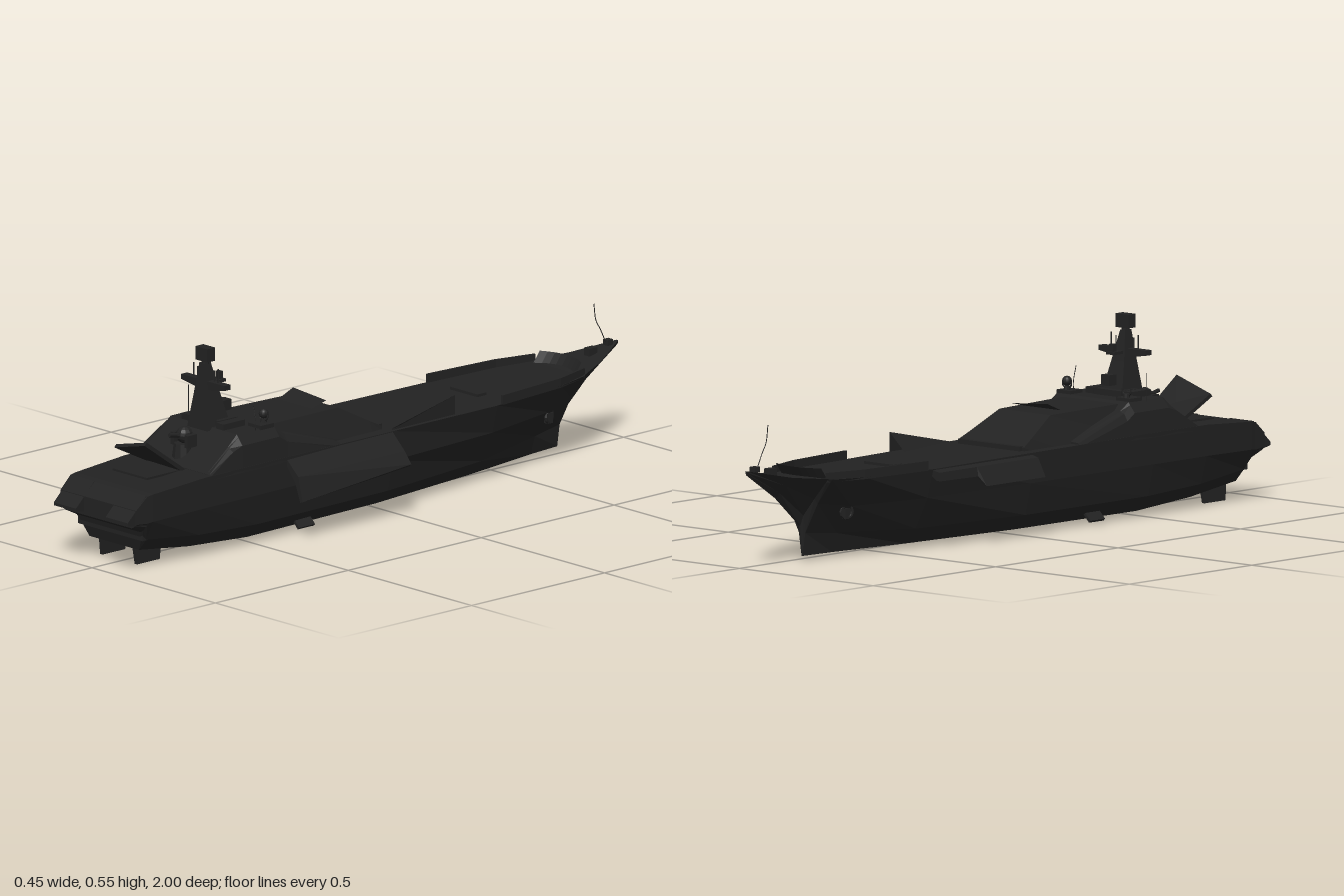
import * as THREE from 'three';

const paint = new THREE.MeshStandardMaterial({ color: 0x222222, flatShading: true });
const plate = new THREE.MeshStandardMaterial({ color: 0x222222, flatShading: true, side: THREE.DoubleSide });
paint.name = 'charcoal paint';
plate.name = 'charcoal plate';

const CX = -0.016; // centreline offset
const centre = z => CX + 0.01 * z;

export function createModel() {
  const ship = new THREE.Group();
  ship.name = 'ship';

  const add = (name, geo, x = 0, y = 0, z = 0, mat = paint) => {
    const m = new THREE.Mesh(geo, mat);
    m.name = name;
    m.position.set(x, y, z);
    ship.add(m);
    return m;
  };
  const box = (name, w, h, d, x, y, z) => add(name, new THREE.BoxGeometry(w, h, d), x, y, z);

  // Capped loft through rings of [x, y, z], counterclockwise seen from +z, z ascending
  const loft = rings => {
    const n = rings[0].length, pos = [], idx = [];
    rings.forEach(r => r.forEach(p => pos.push(...p)));
    for (let i = 0; i < rings.length - 1; i++)
      for (let j = 0; j < n; j++) {
        const a = i * n + j, b = i * n + (j + 1) % n;
        idx.push(a, b, b + n, a, b + n, a + n);
      }
    [0, rings.length - 1].forEach(i => {
      const c = pos.length / 3;
      pos.push(...[0, 1, 2].map(k => rings[i].reduce((s, p) => s + p[k], 0) / n));
      for (let j = 0; j < n; j++) {
        const a = i * n + j, b = i * n + (j + 1) % n;
        idx.push(...(i ? [c, a, b] : [c, b, a]));
      }
    });
    const g = new THREE.BufferGeometry();
    g.setAttribute('position', new THREE.Float32BufferAttribute(pos, 3));
    g.setIndex(idx);
    g.computeVertexNormals();
    return g;
  };
  // Symmetric station: half-section of [halfWidth, y] from bottom to top
  const station = (z, half) => [
    ...half.map(([w, y]) => [centre(z) + w, y, z]),
    ...half.slice().reverse().map(([w, y]) => [centre(z) - w, y, z])];
  const quad = (name, pts) => {
    const g = new THREE.BufferGeometry();
    g.setAttribute('position', new THREE.Float32BufferAttribute(pts.flat(), 3));
    g.setIndex(pts.length === 4 ? [0, 1, 2, 0, 2, 3] : [0, 1, 2]);
    g.computeVertexNormals();
    return add(name, g, 0, 0, 0, plate);
  };
  const rod = (name, r, ...pts) => add(name, new THREE.TubeGeometry(
    new THREE.CatmullRomCurve3(pts.map(p => new THREE.Vector3(...p))), pts.length * 3, r, 5));

  // Hull: raked flared bow to overhanging stern
  add('hull', loft([
    station(-1, [[0.001, 0.264], [0.002, 0.267], [0.003, 0.27], [0.004, 0.275]]),
    station(-0.88, [[0.002, 0.187], [0.015, 0.203], [0.038, 0.225], [0.064, 0.25]]),
    station(-0.78, [[0.002, 0.1], [0.014, 0.13], [0.055, 0.18], [0.107, 0.24]]),
    station(-0.77, [[0.002, 0.015], [0.012, 0.08], [0.058, 0.165], [0.113, 0.238]]),
    station(-0.66, [[0.012, 0.015], [0.03, 0.07], [0.085, 0.15], [0.136, 0.235]]),
    station(-0.4, [[0.05, 0.015], [0.09, 0.06], [0.135, 0.15], [0.156, 0.232]]),
    station(0, [[0.09, 0.015], [0.137, 0.06], [0.157, 0.15], [0.16, 0.235]]),
    station(0.5, [[0.1, 0.015], [0.143, 0.06], [0.162, 0.15], [0.163, 0.238]]),
    station(0.72, [[0.1, 0.03], [0.14, 0.07], [0.162, 0.15], [0.162, 0.237]]),
    station(0.91, [[0.1, 0.055], [0.13, 0.09], [0.158, 0.147], [0.158, 0.225]]),
    station(0.93, [[0.128, 0.115], [0.14, 0.122], [0.156, 0.145], [0.156, 0.222]]),
    station(0.97, [[0.135, 0.135], [0.142, 0.138], [0.153, 0.148], [0.153, 0.188]]),
  ]));
  // Stern quarters either side of the centre notch
  [-1, 1].forEach(s => {
    const x0 = s > 0 ? 0.06 : -0.15, x1 = s > 0 ? 0.15 : -0.06, c = -0.005;
    const ring = (z, lo, hi) => [[c + x0, lo, z], [c + x1, lo, z], [c + x1, hi, z], [c + x0, hi, z]];
    add('sternQuarter', loft([ring(0.93, 0.135, 0.224), ring(1, 0.15, 0.158)]));
  });
  box('transomBand', 0.26, 0.027, 0.02, centre(0.92), 0.102, 0.915);

  // Full-width aft superstructure, continuing the hull sides
  add('aftSuperstructure', loft([
    station(0.2, [[0.161, 0.225], [0.161, 0.23], [0.155, 0.24], [0.13, 0.242]]),
    station(0.4, [[0.162, 0.225], [0.157, 0.28], [0.145, 0.3], [0.128, 0.305]]),
    station(0.43, [[0.163, 0.225], [0.157, 0.3], [0.14, 0.32], [0.134, 0.328]]),
    station(0.57, [[0.163, 0.225], [0.157, 0.3], [0.14, 0.32], [0.134, 0.328]]),
    station(0.605, [[0.163, 0.225], [0.157, 0.288], [0.14, 0.295], [0.134, 0.297]]),
    station(0.69, [[0.162, 0.225], [0.16, 0.236], [0.15, 0.237], [0.14, 0.238]]),
  ]));
  // Forward deckhouse with sloping sides and front
  add('deckhouse', loft([
    station(0.01, [[0.125, 0.23], [0.123, 0.245]]),
    station(0.05, [[0.128, 0.23], [0.115, 0.265]]),
    station(0.15, [[0.13, 0.23], [0.095, 0.318]]),
    station(0.46, [[0.13, 0.23], [0.105, 0.322]]),
  ]));
  // Bridge windows as raised frames on the sloping front
  for (let i = -3; i <= 3; i++) {
    const w = box('bridgeWindow', 0.02, 0.008, 0.024, CX + i * 0.026, 0.295, 0.118);
    w.rotation.x = -0.5;
  }
  quad('bridgeRoofPanel', [[-0.085, 0.322, 0.22], [0.05, 0.322, 0.22], [0.05, 0.335, 0.165], [-0.085, 0.345, 0.165]]);

  // Foredeck: bulwarks, breakwater, hatches
  [-1, 1].forEach(s => {
    const edge = [[-0.78, 0.1], [-0.66, 0.132], [-0.42, 0.152]];
    add('bulwark', loft(edge.map(([z, w]) => {
      const x = centre(z) + s * w;
      return [[x - 0.004, 0.23, z], [x + 0.004, 0.23, z], [x + 0.003, 0.257, z], [x - 0.003, 0.257, z]];
    })));
  });
  const N = 8;
  for (let i = 0; i < N; i++) {
    const p = k => { const t = k / N * 2 - 1; return [centre(-0.8) + t * 0.085, -0.76 - 0.0 * t + 0.025 * t * t - 0.025]; };
    const [ax, az] = p(i), [bx, bz] = p(i + 1);
    quad('breakwater', [[ax, 0.235, az], [bx, 0.235, bz], [bx, 0.268, bz - 0.025], [ax, 0.268, az - 0.025]]);
  }
  box('foredeckHatch', 0.11, 0.008, 0.035, centre(-0.43), 0.236, -0.435);
  box('midshipCoaming', 0.23, 0.016, 0.03, centre(0), 0.24, 0.015);
  box('bowWinch', 0.022, 0.022, 0.03, centre(-0.9), 0.262, -0.9);
  box('bowBitt', 0.02, 0.016, 0.02, centre(-0.97), 0.276, -0.965);
  rod('jackstaff', 0.0013, [CX - 0.01, 0.27, -0.96], [CX - 0.01, 0.32, -0.935], [CX - 0.01, 0.345, -0.92], [CX - 0.01, 0.395, -0.912]);

  // Raised deck lids
  quad('foredeckLid', [[0.133, 0.238, 0], [0.075, 0.238, -0.03], [0.075, 0.24, -0.245], [0.13, 0.29, -0.245]]);
  quad('foredeckLidSide', [[0.133, 0.235, 0], [0.13, 0.235, -0.245], [0.13, 0.29, -0.245]]);
  const lid = [[-0.09, 0.238, 0.69], [0.053, 0.24, 0.7], [0.055, 0.342, 0.845], [-0.09, 0.305, 0.825]];
  add('aftDeckLid', loft([0, 1].map(k => lid.map(([x, y, z]) => [x, y - k * 0.008, z + k * 0.008]))), 0, 0, 0, plate);
  box('aftDeckHatch', 0.14, 0.006, 0.15, -0.02, 0.236, 0.765);

  // Open side doors, hinged at the deck edge
  add('leftSideDoor', loft([
    [[0.145, 0.218, 0.005], [0.19, 0.172, 0.005], [0.215, 0.15, 0.005], [0.223, 0.157, 0.005], [0.195, 0.19, 0.005], [0.147, 0.234, 0.005]],
    [[0.145, 0.215, 0.405], [0.185, 0.168, 0.405], [0.203, 0.117, 0.405], [0.213, 0.121, 0.405], [0.195, 0.19, 0.405], [0.147, 0.232, 0.405]],
  ]), 0, 0, 0, plate);
  const rightDoor = (z, x, y) => [[-0.165, 0.215, z], [-0.165, 0.232, z], [-0.197, 0.224, z], [x, y, z], [x + 0.012, y + 0.002, z], [-0.188, 0.2, z]];
  add('rightSideDoor', loft([rightDoor(-0.4, -0.2, 0.2), rightDoor(-0.245, -0.202, 0.198),
    rightDoor(-0.235, -0.225, 0.172), rightDoor(0.005, -0.225, 0.172)]), 0, 0, 0, plate);

  // Main mast: tapered tower, yardarms, antennas and radar
  const tower = (y, w, d, z) => [[CX - w, y, z + d], [CX + w, y, z + d], [CX + w, y, z - d], [CX - w, y, z - d]];
  add('mast', loft([tower(0.32, 0.04, 0.045, 0.545), tower(0.42, 0.024, 0.026, 0.553), tower(0.505, 0.009, 0.013, 0.56)]));
  [-1, 1].forEach(s => {
    const f = z => {
      const r = [[CX, 0.425, z], [CX + s * 0.03, 0.432, z], [CX + s * 0.088, 0.441, z], [CX + s * 0.088, 0.455, z], [CX, 0.455, z]];
      return s > 0 ? r : r.reverse();
    };
    add('yardarm', loft([f(0.545), f(0.568)]));
    [[0.033, 0.486], [0.05, 0.494]].forEach(([x, top]) =>
      add('mastAntenna', new THREE.CylinderGeometry(0.002, 0.002, top - 0.45, 6), CX + s * x, (top + 0.45) / 2, 0.556));
  });
  box('radarArray', 0.048, 0.038, 0.03, -0.015, 0.53, 0.56);
  add('radarPivot', new THREE.CylinderGeometry(0.011, 0.011, 0.012, 8), -0.015, 0.508, 0.56);
  box('mastPlatform', 0.03, 0.008, 0.05, CX, 0.445, 0.52);
  box('mastSensor', 0.016, 0.022, 0.014, CX, 0.459, 0.507);
  box('mastBase', 0.1, 0.03, 0.07, CX, 0.33, 0.52);
  box('navigationRadar', 0.03, 0.03, 0.03, CX, 0.372, 0.49);

  // Roof sensors, domes and whip antennas
  [-0.12, 0.103].forEach(x => {
    box('sensorBase', 0.052, 0.012, 0.05, x, 0.331, 0.46);
    add('sensorPost', new THREE.CylinderGeometry(0.008, 0.01, 0.016, 8), x, 0.34, 0.45);
    [-1, 1].forEach(s => rod('sensorFork', 0.0025, [x, 0.342, 0.45], [x + s * 0.014, 0.348, 0.45], [x + s * 0.016, 0.362, 0.45]));
  });
  add('sensorDome', new THREE.SphereGeometry(0.014, 12, 8), 0.103, 0.362, 0.45);
  rod('whipAntenna', 0.0011, [-0.148, 0.31, 0.5], [-0.148, 0.403, 0.5]);
  rod('whipAntenna', 0.0011, [0.123, 0.32, 0.5], [0.125, 0.35, 0.5], [0.115, 0.398, 0.5]);
  [-0.085, 0.055].forEach(x => box('roofLocker', 0.03, 0.02, 0.08, x, 0.335, 0.53));

  // Close-in gun between mast and aft deck
  add('gunBase', new THREE.CylinderGeometry(0.024, 0.03, 0.045, 10), CX, 0.268, 0.645);
  add('gunTurret', new THREE.SphereGeometry(0.024, 10, 8), CX, 0.312, 0.637);
  add('gunBarrels', new THREE.CylinderGeometry(0.006, 0.006, 0.06, 8), CX, 0.315, 0.665).rotation.x = Math.PI / 2 - 0.2;
  [-1, 1].forEach(s => box('gunMagazine', 0.014, 0.035, 0.035, CX + s * 0.028, 0.3, 0.64));

  // Rudders, stabiliser fins and anchors
  [-1, 1].forEach(s => {
    const x = CX + s * 0.07;
    const r = (z0, z1, y, dx) => [[x + dx - 0.005, y, z1], [x + dx + 0.005, y, z1], [x + dx + 0.005, y, z0], [x + dx - 0.005, y, z0]];
    add('rudder', loft([r(0.8, 0.885, 0.002, 0), r(0.79, 0.9, 0.085, s < 0 ? 0.008 : 0)]));
    box('stabiliserFin', 0.045, 0.008, 0.06, CX + s * 0.115, 0.028, 0.3).rotation.z = -s * 0.8;
    const ring = add('anchorPocket', new THREE.TorusGeometry(0.018, 0.005, 6, 12), centre(-0.67) + s * 0.076, 0.135, -0.67);
    ring.rotation.set(0, s * (Math.PI / 2 + 0.3), 0);
    box('anchor', 0.014, 0.03, 0.02, centre(-0.67) + s * 0.074, 0.13, -0.67);
  });

  return ship;
}
